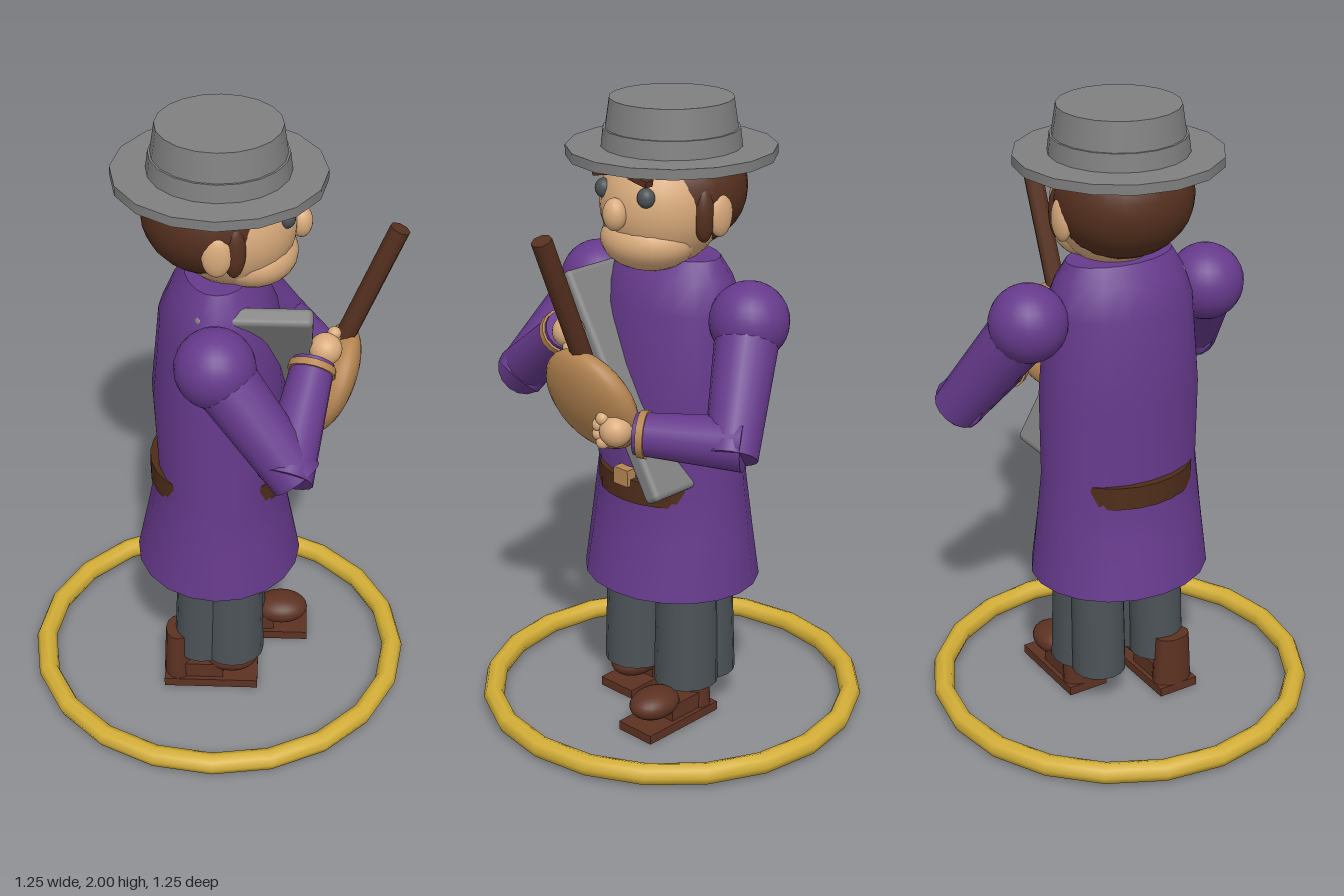
import * as THREE from 'three';
import { RoundedBoxGeometry } from 'three/addons/geometries/RoundedBoxGeometry.js';

const mat = (name, color) => {
  const m = new THREE.MeshStandardMaterial({ color });
  m.name = name;
  return m;
};

export function createModel() {
  const g = new THREE.Group();
  const M = {
    coat: mat('purple', 0x663a8c), grey: mat('grey', 0x808080), gold: mat('gold', 0xd4af37),
    skin: mat('skin', 0xd9ab7c), hair: mat('darkBrown', 0x55301f), wood: mat('tanWood', 0xb58552),
    pants: mat('slate', 0x4b5256), boot: mat('bootBrown', 0x5c3222), belt: mat('beltBrown', 0x4e2d1a),
  };
  const V = (x, y, z) => new THREE.Vector3(x, y, z);

  const add = (name, geo, material, x = 0, y = 0, z = 0) => {
    const m = new THREE.Mesh(geo, material);
    m.name = name;
    m.position.set(x, y, z);
    g.add(m);
    return m;
  };
  const ball = (name, material, x, y, z, rx, ry = rx, rz = rx) => {
    const m = add(name, new THREE.SphereGeometry(1, 24, 16), material, x, y, z);
    m.scale.set(rx, ry, rz);
    return m;
  };
  const box = (name, material, x, y, z, w, h, d) => add(name, new THREE.BoxGeometry(w, h, d), material, x, y, z);
  const disc = (name, material, x, y, z, rTop, rBottom, h, sides = 20) =>
    add(name, new THREE.CylinderGeometry(rTop, rBottom, h, sides), material, x, y, z);
  // Tapered cylinder from a to b
  const limb = (name, material, a, b, ra, rb, sides = 16) => {
    const d = b.clone().sub(a);
    const m = add(name, new THREE.CylinderGeometry(rb, ra, d.length(), sides), material);
    m.position.copy(a).addScaledVector(d, 0.5);
    m.quaternion.setFromUnitVectors(V(0, 1, 0), d.normalize());
    return m;
  };
  // Closed loft of ellipses, each row is [y, radiusX, radiusZ]
  const loft = (rows, n = 20) => {
    const pos = [], idx = [];
    const ring = ([y, rx, rz]) => {
      for (let i = 0; i < n; i++) {
        const a = (i / n) * Math.PI * 2;
        pos.push(rx * Math.cos(a), y, rz * Math.sin(a));
      }
    };
    rows.forEach(ring);
    for (let r = 0; r < rows.length - 1; r++) {
      for (let i = 0; i < n; i++) {
        const j = (i + 1) % n, a = r * n + i, b = r * n + j;
        idx.push(a, a + n, b, b, a + n, b + n);
      }
    }
    const b0 = rows.length * n, t0 = b0 + n;
    ring(rows[0]);
    ring(rows[rows.length - 1]);
    for (let i = 1; i < n - 1; i++) idx.push(b0, b0 + i, b0 + i + 1, t0, t0 + i + 1, t0 + i);
    const geo = new THREE.BufferGeometry();
    geo.setAttribute('position', new THREE.Float32BufferAttribute(pos, 3));
    geo.setIndex(idx);
    geo.computeVertexNormals();
    return geo;
  };

  // Base ring
  add('baseRing', new THREE.TorusGeometry(0.591, 0.034, 8, 20), M.gold, 0, 0.038, 0).rotation.x = Math.PI / 2;

  // Coat, belt and buckle
  add('coat', loft([
    [0.46, 0.265, 0.295], [0.64, 0.228, 0.28], [0.82, 0.195, 0.265], [1.1, 0.21, 0.265],
    [1.38, 0.185, 0.245], [1.47, 0.145, 0.215], [1.53, 0.105, 0.18],
  ]), M.coat);
  disc('belt', M.belt, 0, 0.8, 0, 1, 1, 0.075, 24).scale.set(0.22, 1, 0.24);
  box('buckle', M.wood, 0.212, 0.843, 0, 0.035, 0.055, 0.06);

  // Legs and boots, one foot forward
  for (const s of [1, -1]) {
    limb('trouserFront', M.pants, V(0.05, 0.115, s * 0.112), V(0.045, 0.6, s * 0.11), 0.104, 0.095);
    limb('trouserBack', M.pants, V(-0.055, 0.115, s * 0.112), V(-0.04, 0.6, s * 0.11), 0.088, 0.084);
    const x = s > 0 ? -0.02 : 0.145, z = s * 0.125;
    box('sole', M.boot, x, 0.016, z, 0.31, 0.03, 0.14);
    ball('bootToe', M.boot, x + 0.065, 0.09, z, 0.09, 0.048, 0.07);
    box('bootInstep', M.boot, x - 0.04, 0.055, z, 0.16, 0.06, 0.11);
    disc('bootShaft', M.boot, x - 0.11, 0.11, z, 0.042, 0.048, 0.18, 12).scale.z = 1.45;
  }

  // Head
  ball('head', M.skin, 0.04, 1.69, 0, 0.195, 0.2, 0.187);
  ball('jaw', M.skin, 0.1, 1.585, 0, 0.138, 0.095, 0.155);
  ball('hair', M.hair, -0.028, 1.725, 0, 0.207, 0.19, 0.217);
  ball('fringe', M.hair, 0.035, 1.835, 0, 0.19, 0.045, 0.175);
  ball('nose', M.skin, 0.243, 1.685, 0, 0.034, 0.05, 0.038);
  for (const s of [1, -1]) {
    ball('eye', M.pants, 0.2, 1.742, s * 0.088, 0.026, 0.03, 0.028);
    box('eyebrow', M.hair, 0.21, 1.797, s * 0.075, 0.03, 0.02, 0.075).rotation.x = s * 0.2;
    ball('ear', M.skin, 0, 1.675, s * 0.2, 0.045, 0.068, 0.026);
    ball('sideburn', M.hair, 0.05, 1.68, s * 0.18, 0.035, 0.085, 0.03);
  }

  // Hat
  disc('hatBrim', M.grey, 0, 1.84, 0, 0.32, 0.32, 0.031, 16);
  disc('hatBand', M.grey, 0, 1.882, 0, 0.208, 0.215, 0.057);
  disc('hatCrown', M.grey, 0, 1.95, 0, 0.188, 0.203, 0.1);

  // Arms: elbow, wrist and hand for each side
  const arms = [
    { s: 1, elbow: V(0.22, 1.1, 0.43), wrist: V(0.29, 1.3, 0.17), hand: V(0.325, 1.315, 0.12) },
    { s: -1, elbow: V(0.2, 1.07, -0.44), wrist: V(0.35, 1.075, -0.19), hand: V(0.375, 1.075, -0.13) },
  ];
  for (const { s, elbow, wrist, hand } of arms) {
    const shoulder = V(0, 1.37, s * 0.32);
    ball('shoulder', M.coat, 0, 1.37, s * 0.32, 0.122);
    const end = elbow.clone().lerp(shoulder, -0.12);
    limb('upperArm', M.coat, shoulder, end, 0.1, 0.08);
    limb('forearm', M.coat, elbow.clone().lerp(wrist, -0.12), wrist, 0.084, 0.064);
    const dir = wrist.clone().sub(elbow).normalize();
    limb('cuff', M.wood, wrist.clone().addScaledVector(dir, -0.035), wrist.clone().addScaledVector(dir, -0.012), 0.074, 0.072);
    ball('hand', M.skin, hand.x, hand.y, hand.z, 0.05);
    // Knuckles around the hand
    for (let i = 0; i < 4; i++) {
      const a = -0.9 + i * 0.6;
      ball('finger', M.skin, hand.x + 0.025, hand.y + 0.048 * Math.sin(a), hand.z - s * 0.048 * Math.cos(a), 0.021);
    }
  }

  // Stringed instrument
  const body = ball('instrumentBody', M.wood, 0.345, 1.132, 0, 0.07, 0.18, 0.178);
  body.rotation.z = -0.378;
  limb('instrumentNeck', M.hair, V(0.375, 1.26, 0), V(0.535, 1.665, 0), 0.032, 0.032, 8);

  // Slanted slab held against the chest
  const slab = add('slab', new RoundedBoxGeometry(0.35, 0.75, 0.06, 2, 0.018), M.grey, 0.11, 1.15, 0);
  slab.rotation.x = 0.53;

  return g;
}
